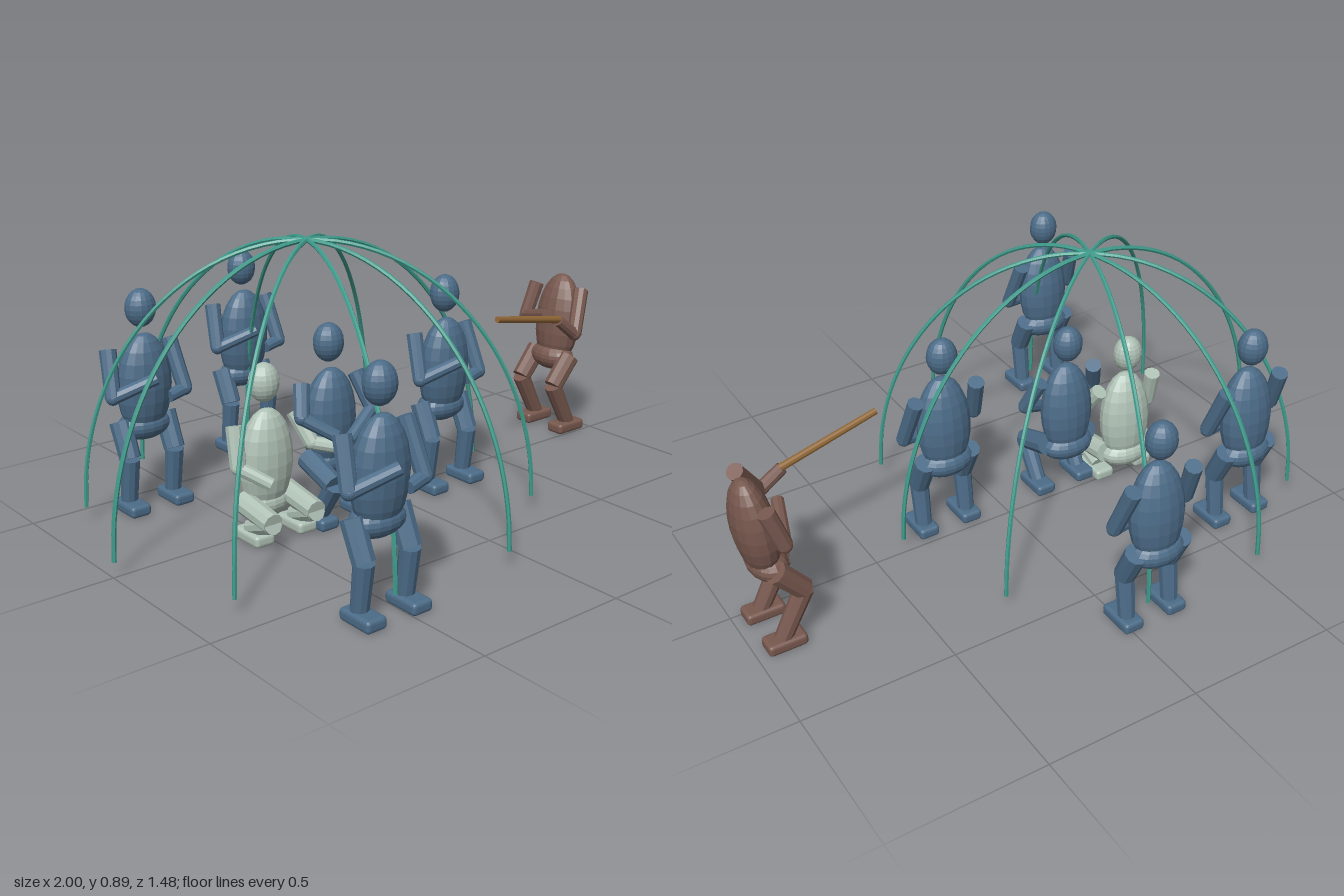
import * as THREE from 'three';
import { RoundedBoxGeometry } from 'three/addons/geometries/RoundedBoxGeometry.js';

const material = (name, color) => {
  const m = new THREE.MeshStandardMaterial({ color, flatShading: true });
  m.name = name;
  return m;
};
const blue = material('slate blue', 0x4c6c88);
const pale = material('pale sage', 0xb0c2b6);
const brown = material('umber', 0x77584e);
const teal = material('teal', 0x3f9c8c);
const wood = material('wood', 0x8f6636);

const V = (p) => new THREE.Vector3(...p);
const UP = new THREE.Vector3(0, 1, 0);

function add(parent, name, geometry, mat, pos = [0, 0, 0]) {
  const mesh = new THREE.Mesh(geometry, mat);
  mesh.name = name;
  mesh.position.set(...pos);
  parent.add(mesh);
  return mesh;
}

// Stretched sphere
function ellipsoid(parent, name, mat, pos, radii) {
  const geometry = new THREE.SphereGeometry(1, 16, 12).scale(...radii);
  return add(parent, name, geometry, mat, pos);
}

// Cylinder between two joints
function limb(parent, name, mat, from, to, rFrom, rTo = rFrom) {
  const a = V(from), b = V(to), d = b.clone().sub(a);
  const mesh = add(parent, name, new THREE.CylinderGeometry(rTo, rFrom, d.length(), 10), mat);
  mesh.position.copy(a).add(b).multiplyScalar(0.5);
  mesh.quaternion.setFromUnitVectors(UP, d.normalize());
  return mesh;
}

// Joints run shoulder, elbow, hand and, as [y, z], hip, knee, ankle
const standing = {
  drop: 0, lean: 0.06, head: true,
  rightArm: [[-0.11, 0.53, -0.02], [-0.128, 0.39, 0.03], [0.0, 0.44, 0.08]],
  leftArm: [[0.112, 0.53, -0.03], [0.128, 0.37, 0.03], [0.06, 0.36, 0.045]],
  leg: [[0.29, -0.02], [0.18, 0.03], [0.03, 0.01]],
  footZ: 0.025,
};
const crouching = {
  ...standing, drop: 0.085,
  rightArm: [[-0.105, 0.45, 0], [-0.135, 0.36, 0.04], [-0.05, 0.3, 0.1]],
  leftArm: [[0.105, 0.45, 0], [0.13, 0.34, 0.05], [0.0, 0.275, 0.1]],
  leg: [[0.205, -0.01], [0.155, 0.125], [0.03, 0.045]],
  footZ: 0.045,
};
const kneeling = {
  ...standing, drop: 0.175,
  rightArm: [[-0.11, 0.36, 0], [-0.12, 0.24, 0.03], [-0.05, 0.19, 0.1]],
  leftArm: [[0.11, 0.36, 0], [0.13, 0.27, 0.06], [0.21, 0.25, 0.12]],
  leg: [[0.11, -0.01], [0.085, 0.145], [0.04, 0.03]],
  footZ: 0.045,
};
const stooping = {
  ...standing, lean: -0.12, head: false,
  rightArm: [[-0.112, 0.52, 0], [-0.125, 0.4, 0.04], [0.03, 0.44, 0.09]],
  leftArm: [[0.105, 0.53, 0], [0.16, 0.395, 0.085], [0.15, 0.455, 0.16]],
  leg: [[0.28, 0.02], [0.185, 0.1], [0.03, 0.02]],
};

function figure(name, mat, x, z, pose) {
  const g = new THREE.Group();
  g.name = name;
  g.position.set(x, 0, z);
  const { drop, lean } = pose;

  // Body
  const torso = ellipsoid(g, 'torso', mat, [0, 0.4 - drop, 0], [0.092, 0.172, 0.065]);
  torso.rotation.x = lean;
  ellipsoid(g, 'pelvis', mat, [0, 0.27 - drop, -0.2 * lean], [0.092, 0.05, 0.06]);
  if (pose.head) ellipsoid(g, 'head', mat, [0, 0.65 - drop, 0], [0.05, 0.061, 0.045]);

  // Arms
  for (const [arm, side] of [[pose.rightArm, 'right'], [pose.leftArm, 'left']]) {
    limb(g, side + 'UpperArm', mat, arm[0], arm[1], 0.027, 0.025);
    limb(g, side + 'Forearm', mat, arm[1], arm[2], 0.022, 0.02);
    ellipsoid(g, side + 'Elbow', mat, arm[1], [0.023, 0.023, 0.023]);
  }

  // Legs
  for (const [s, side] of [[-1, 'right'], [1, 'left']]) {
    const [hip, knee, ankle] = pose.leg.map(([y, lz]) => [s * 0.08, y, lz]);
    limb(g, side + 'Thigh', mat, hip, knee, 0.036, 0.034);
    limb(g, side + 'Shin', mat, knee, ankle, 0.031, 0.027);
    add(g, side + 'Foot', new RoundedBoxGeometry(0.07, 0.038, 0.126, 2, 0.012), mat,
      [s * 0.08, 0.019, pose.footZ]);
  }
  return g;
}

// Ten bent ribs meeting at the crown
function dome() {
  const g = new THREE.Group();
  g.name = 'dome';
  g.position.set(-0.3, 0, 0.005);
  const points = [];
  for (let i = 0; i <= 12; i++) {
    const t = (i / 12) * Math.PI / 2;
    points.push(new THREE.Vector3(0.697 * Math.cos(t), 0.05 + 0.836 * Math.sin(t), 0));
  }
  const rib = new THREE.TubeGeometry(new THREE.CatmullRomCurve3(points), 28, 0.007, 6);
  for (let i = 0; i < 10; i++) {
    add(g, 'rib', rib, teal).rotation.y = (i * Math.PI) / 5;
  }
  return g;
}

export function createModel() {
  const model = new THREE.Group();
  model.name = 'domeWithFigures';
  model.add(dome());

  // Standing group
  for (const [x, z] of [[0.21, 0.055], [-0.085, -0.667], [-0.635, -0.41], [-0.55, 0.645]]) {
    model.add(figure('standingFigure', blue, x, z, standing));
  }

  // Pair at the centre
  model.add(figure('crouchingFigure', blue, -0.243, 0.03, crouching));
  model.add(figure('kneelingFigure', pale, -0.465, 0, kneeling));

  // Stooped outsider with a stick
  const outsider = figure('stoopedFigure', brown, 0.93, -0.115, stooping);
  outsider.rotation.y = -Math.PI / 2;
  model.add(outsider);
  limb(model, 'stick', wood, [0.78, 0.457, 0.033], [0.44, 0.523, 0.065], 0.013, 0.011);
  return model;
}
